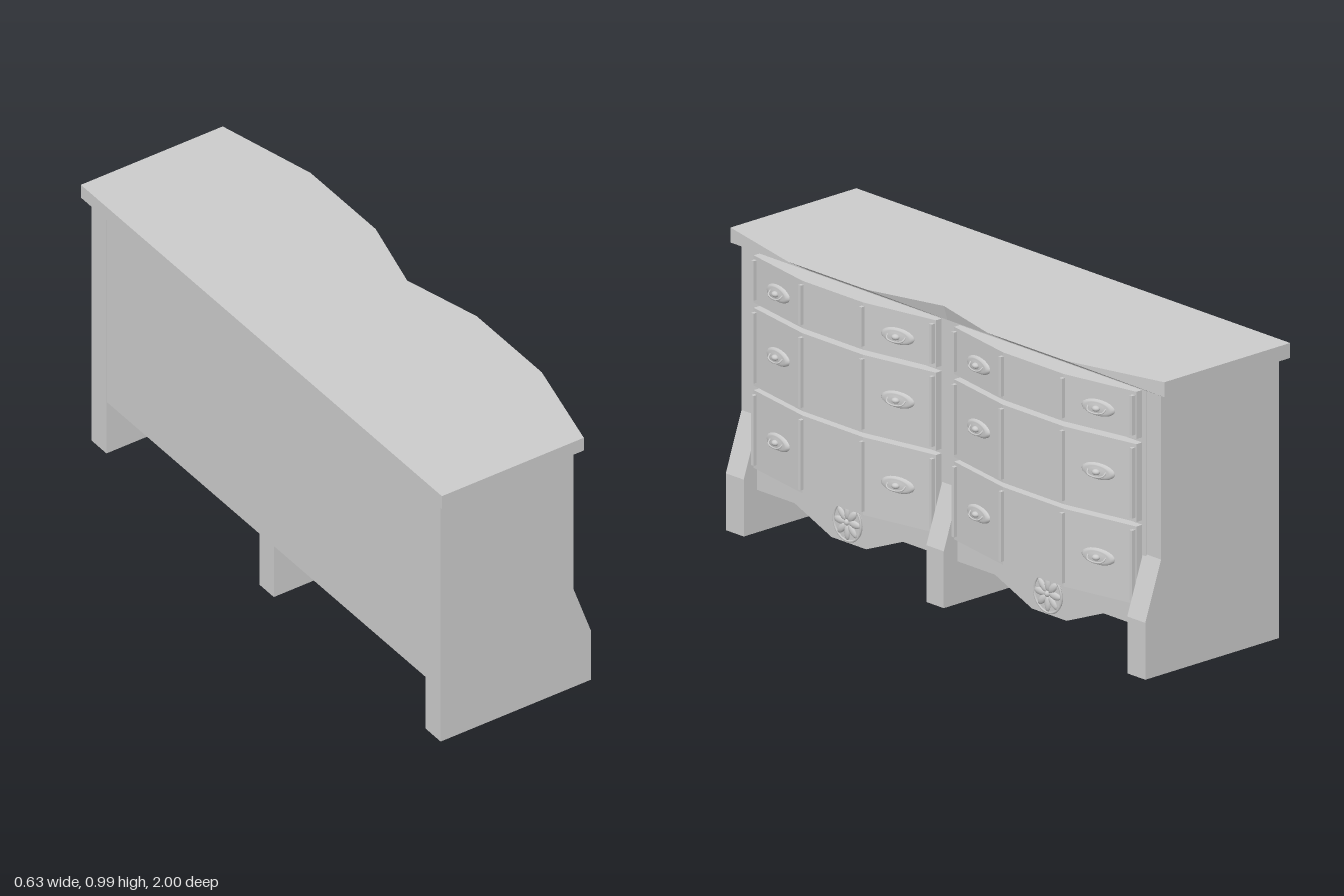
import * as THREE from 'three';

const material = new THREE.MeshStandardMaterial({ color: 0xcccccc });

function add(parent, name, geometry, x = 0, y = 0, z = 0) {
  const mesh = new THREE.Mesh(geometry, material);
  mesh.name = name;
  mesh.position.set(x, y, z);
  parent.add(mesh);
  return mesh;
}

function extrude(points, depth) {
  const shape = new THREE.Shape(points.map(([a, b]) => new THREE.Vector2(a, b)));
  return new THREE.ExtrudeGeometry(shape, { depth, bevelEnabled: false });
}

// Horizontal board from an [x, z] outline, rising from y = 0
function board(points, height) {
  return extrude(points.map(([x, z]) => [x, -z]), height).rotateX(-Math.PI / 2);
}

// Box given by its limits
function block(parent, name, x0, x1, y0, y1, z0, z1) {
  return add(parent, name, new THREE.BoxGeometry(x1 - x0, y1 - y0, z1 - z0),
    (x0 + x1) / 2, (y0 + y1) / 2, (z0 + z1) / 2);
}

// Bowed front line of one drawer, in local z
const HALF = 0.42, FLAT = 0.14, X_END = 0.235, X_MID = 0.287;
const SLOPE = Math.atan2(X_MID - X_END, HALF - FLAT);
const frontX = (z) => X_MID - Math.max(0, Math.abs(z) - FLAT) * Math.tan(SLOPE);

// Oval pull: dished backplate, hanging bail and central knob; faces +z
function makeHandle() {
  const handle = new THREE.Group();
  handle.name = 'handle';
  const profile = [[0, 0.012], [0.03, 0.012], [0.045, 0.009], [0.055, 0.011], [0.064, 0.004], [0.064, -0.003]];
  const plate = new THREE.LatheGeometry(profile.map(([r, y]) => new THREE.Vector2(r, y)).reverse(), 24);
  plate.rotateX(Math.PI / 2).scale(1, 0.42, 1);
  add(handle, 'backplate', plate);
  const bail = new THREE.CatmullRomCurve3([
    [-0.035, 0.004, 0.008], [-0.03, -0.008, 0.02], [0, -0.014, 0.023], [0.03, -0.008, 0.02], [0.035, 0.004, 0.008],
  ].map((p) => new THREE.Vector3(...p)));
  add(handle, 'bail', new THREE.TubeGeometry(bail, 16, 0.003, 6));
  add(handle, 'knob', new THREE.SphereGeometry(0.012, 12, 8).scale(1.2, 0.8, 1), 0, 0, 0.014);
  return handle;
}

function makeDrawer(y0, y1, handleY) {
  const drawer = new THREE.Group();
  drawer.name = 'drawer';
  const outline = [[0.2, HALF], [X_END, HALF], [X_MID, FLAT], [X_MID, -FLAT], [X_END, -HALF], [0.2, -HALF]];
  add(drawer, 'drawerFront', board(outline, y1 - y0), 0, y0);
  for (const side of [-1, 1]) {
    // Upright mouldings at the ends and at the bends
    for (const z of [0.41, FLAT]) {
      const x = frontX(z);
      block(drawer, 'moulding', x - 0.005, x + 0.013, y0 + 0.014, y1 - 0.012, side * z - 0.006, side * z + 0.006);
    }
    const handle = makeHandle();
    handle.position.set(frontX(0.275), handleY, side * 0.275);
    handle.rotation.y = Math.PI / 2 - side * SLOPE;
    drawer.add(handle);
  }
  return drawer;
}

// Round carved flower, facing +x
function makeRosette() {
  const rosette = new THREE.Group();
  rosette.name = 'rosette';
  add(rosette, 'disc', new THREE.CylinderGeometry(0.064, 0.064, 0.008, 28).rotateZ(Math.PI / 2));
  add(rosette, 'rim', new THREE.TorusGeometry(0.063, 0.004, 6, 28).rotateY(Math.PI / 2), 0.004);
  add(rosette, 'centre', new THREE.SphereGeometry(0.011, 12, 8), 0.004);
  for (let i = 0; i < 8; i++) {
    const petal = new THREE.SphereGeometry(1, 10, 8).scale(0.008, 0.026, 0.013).translate(0, 0.034, 0);
    add(rosette, 'petal', petal.rotateX((i * Math.PI) / 4), 0.004);
  }
  return rosette;
}

export function createModel() {
  const model = new THREE.Group();
  model.name = 'dresser';

  // Top: wavy upper edge tapering back to a straight lower edge
  const wave = [[0.225, 1], [0.313, 0.64], [0.313, 0.28], [0.24, 0], [0.313, -0.28], [0.313, -0.64], [0.225, -1]];
  const top = board([[-0.318, 1], ...wave, [-0.318, -1]], 0.05);
  const pos = top.attributes.position;
  for (let i = 0; i < pos.count; i++) {
    if (pos.getY(i) < 0.025) pos.setX(i, Math.min(pos.getX(i), 0.225));
  }
  top.computeVertexNormals();
  add(model, 'top', top, 0, 0.94);

  // Carcass
  block(model, 'carcass', -0.298, 0.21, 0.2, 0.94, -0.9, 0.9);

  // Side and middle uprights that flare into feet
  const upright = [[-0.3, 0], [0.276, 0], [0.276, 0.19], [0.208, 0.385], [0.208, 0.945], [-0.3, 0.945]];
  for (const [name, z0, z1] of [['leftSide', -0.967, -0.884], ['middleUpright', -0.04, 0.04], ['rightSide', 0.884, 0.967]]) {
    add(model, name, extrude(upright, z1 - z0), name === 'middleUpright' ? 0.002 : 0, 0, z0);
  }

  // Two banks of drawers, each over a shaped apron
  for (const side of [-1, 1]) {
    const bank = new THREE.Group();
    bank.name = 'drawerBank';
    bank.position.z = side * 0.462;
    model.add(bank);
    for (const [y0, y1, handleY] of [[0.22, 0.48, 0.35], [0.495, 0.755, 0.635], [0.772, 0.93, 0.847]]) {
      bank.add(makeDrawer(y0, y1, handleY));
    }
    const apron = [[-0.425, 0.225], [-0.425, 0.142], [-0.25, 0.142], [-0.08, 0.073],
      [0.08, 0.073], [0.25, 0.142], [0.425, 0.142], [0.425, 0.225]];
    add(bank, 'apron', extrude(apron, 0.06).rotateY(Math.PI / 2), 0.158);
    const rosette = makeRosette();
    rosette.position.set(0.22, 0.145, 0);
    bank.add(rosette);
  }
  return model;
}
